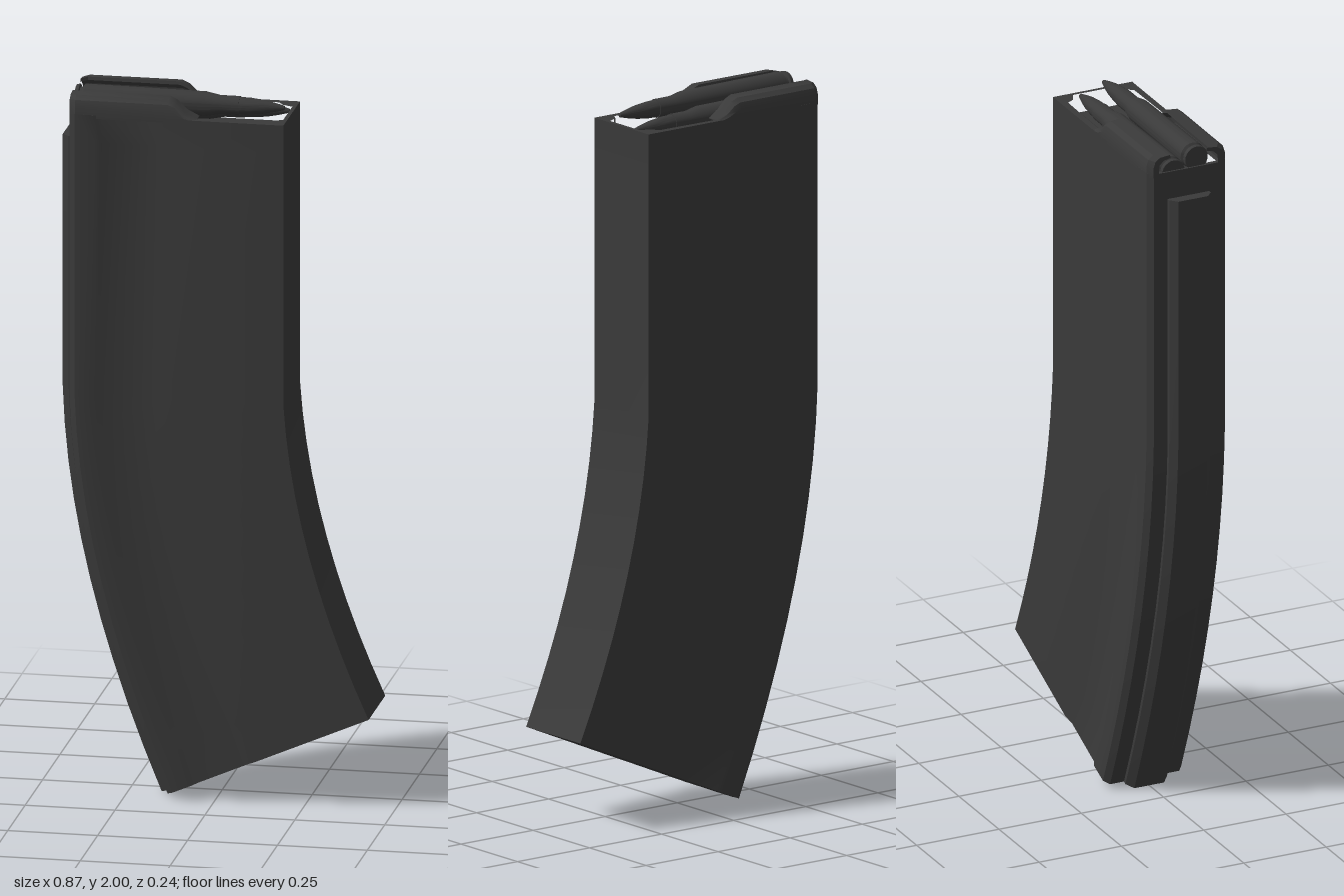
import * as THREE from 'three';
import { toCreasedNormals } from 'three/addons/utils/BufferGeometryUtils.js';

const V = (x, y, z) => new THREE.Vector3(x, y, z);
const material = new THREE.MeshStandardMaterial({ color: 0x3a3a3a });

function part(name, geometry) {
  const mesh = new THREE.Mesh(geometry, material);
  mesh.name = name;
  return mesh;
}

// Closed solid through matching rings; flat() maps a ring point to 2D for the end caps.
function loft(rings, flat) {
  const pos = [];
  const n = rings[0].length;
  const center = r => r.reduce((s, p) => s.add(p), V(0, 0, 0)).divideScalar(n);
  const tri = (a, b, c) => pos.push(...a.toArray(), ...b.toArray(), ...c.toArray());
  const first = rings[0], last = rings[rings.length - 1];
  const travel = center(rings[1]).sub(center(first));
  const area = V(0, 0, 0);
  first.forEach((p, i) => area.add(p.clone().cross(first[(i + 1) % n])));
  const ccw = area.dot(travel) > 0;
  for (let k = 0; k + 1 < rings.length; k++) {
    for (let i = 0; i < n; i++) {
      const j = (i + 1) % n;
      const [p, q] = ccw ? [i, j] : [j, i];
      const A = rings[k], B = rings[k + 1];
      tri(A[p], A[q], B[q]);
      tri(A[p], B[q], B[p]);
    }
  }
  const cap = (ring, out) => {
    for (const [i, j, k] of THREE.ShapeUtils.triangulateShape(ring.map(flat), [])) {
      const [a, b, c] = [ring[i], ring[j], ring[k]];
      const normal = b.clone().sub(a).cross(c.clone().sub(a));
      if (normal.dot(out) > 0) tri(a, b, c); else tri(a, c, b);
    }
  };
  cap(first, travel.clone().negate());
  cap(last, center(last).sub(center(rings[rings.length - 2])));
  const g = new THREE.BufferGeometry();
  g.setAttribute('position', new THREE.Float32BufferAttribute(pos, 3));
  return toCreasedNormals(g, 0.5);
}

// Mirror a half outline of [x, z] points across z = 0
const mirrored = half => [...half, ...half.slice().reverse().map(([x, z]) => [x, -z])];

const BACK = -0.435, FRONT = 0.193;
const bodySection = mirrored([
  [-0.405, 0.105], [-0.388, 0.119], [-0.33, 0.12], [-0.315, 0.113],
  [-0.17, 0.113], [-0.14, 0.12], [FRONT, 0.12]
]);
const spineSection = mirrored([[BACK, 0.045], [-0.415, 0.063], [-0.39, 0.063]]);

// Rear and front edges of the curved lower half
const rearEdge = new THREE.QuadraticBezierCurve(
  new THREE.Vector2(BACK, 1.144), new THREE.Vector2(-0.42, 0.626), new THREE.Vector2(-0.16, 0.005));
const frontEdge = new THREE.QuadraticBezierCurve(
  new THREE.Vector2(FRONT, 1.144), new THREE.Vector2(0.22, 0.72), new THREE.Vector2(0.43, 0.262));

// Sweep a section from a straight top down along the curve
function sweep(section, top) {
  const rings = [section.map(([x, z]) => V(x, top, z))];
  const steps = 10;
  for (let s = 0; s <= steps; s++) {
    const a = rearEdge.getPoint(s / steps), b = frontEdge.getPoint(s / steps);
    rings.push(section.map(([x, z]) => {
      const u = (x - BACK) / (FRONT - BACK);
      return V(a.x + (b.x - a.x) * u, a.y + (b.y - a.y) * u, z);
    }));
  }
  return loft(rings, p => new THREE.Vector2(p.x, p.z));
}

// Open rim around the mouth
function mouthRim() {
  const points = list => list.map(([x, z]) => new THREE.Vector2(x, z));
  const shape = new THREE.Shape(points(bodySection));
  shape.holes.push(new THREE.Path(points(mirrored([
    [-0.392, 0.09], [-0.12, 0.09], [-0.11, 0.104], [0.14, 0.1], [0.152, 0.08], [0.182, 0.065]
  ]))));
  const g = new THREE.ExtrudeGeometry(shape, { depth: 0.08, bevelEnabled: false });
  g.rotateX(-Math.PI / 2).translate(0, 1.86, 0);
  return toCreasedNormals(g, 0.5);
}

// Curled feed lip on one side, sloping away toward the front
function feedLip(side) {
  const profile = [
    [0.12, 1.93], [0.12, 1.96], [0.114, 1.979], [0.1, 1.99], [0.07, 1.993],
    [0.068, 1.984], [0.09, 1.978], [0.102, 1.965], [0.105, 1.93]
  ];
  // x, height scale, inward shift
  const stations = [
    [-0.405, 0.95, 0.014], [-0.387, 1, 0.001], [-0.13, 1, 0],
    [-0.11, 0.85, 0], [-0.085, 0.45, 0], [-0.05, 0.17, 0]
  ];
  const rings = stations.map(([x, h, shift]) => profile.map(([z, y]) =>
    V(x, 1.93 + (y - 1.93) * h, side * (z - shift))));
  return loft(rings, p => new THREE.Vector2(p.z, p.y));
}

// Bottlenecked cartridge turned about the x axis
function cartridge(y, z) {
  const group = new THREE.Group();
  group.name = 'cartridge';
  const turned = (name, pts) => {
    const g = new THREE.LatheGeometry(pts.map(([x, r]) => new THREE.Vector2(r, x)), 24);
    g.rotateZ(-Math.PI / 2);
    group.add(part(name, toCreasedNormals(g, 0.5)));
  };
  turned('case', [
    [-0.4, 0], [-0.4, 0.034], [-0.393, 0.036], [-0.39, 0.036], [-0.388, 0.029],
    [-0.382, 0.029], [-0.376, 0.037], [-0.04, 0.034], [0, 0.026], [0.055, 0.026], [0.055, 0]
  ]);
  turned('bullet', [
    [0.05, 0.024], [0.085, 0.023], [0.12, 0.019], [0.15, 0.013], [0.178, 0.006], [0.181, 0]
  ]);
  group.position.set(0, y, z);
  return group;
}

export function createModel() {
  const model = new THREE.Group();
  model.name = 'curvedMagazine';
  model.add(
    part('body', sweep(bodySection, 1.86)),
    part('spine', sweep(spineSection, 1.86)),
    part('mouthRim', mouthRim()),
    part('leftFeedLip', feedLip(-1)),
    part('rightFeedLip', feedLip(1)),
    cartridge(1.963, 0.027),
    cartridge(1.935, -0.043)
  );
  // Follower under the cartridges
  const follower = part('follower', new THREE.BoxGeometry(0.5, 0.04, 0.12));
  follower.position.set(-0.1, 1.88, 0);
  model.add(follower);
  return model;
}
